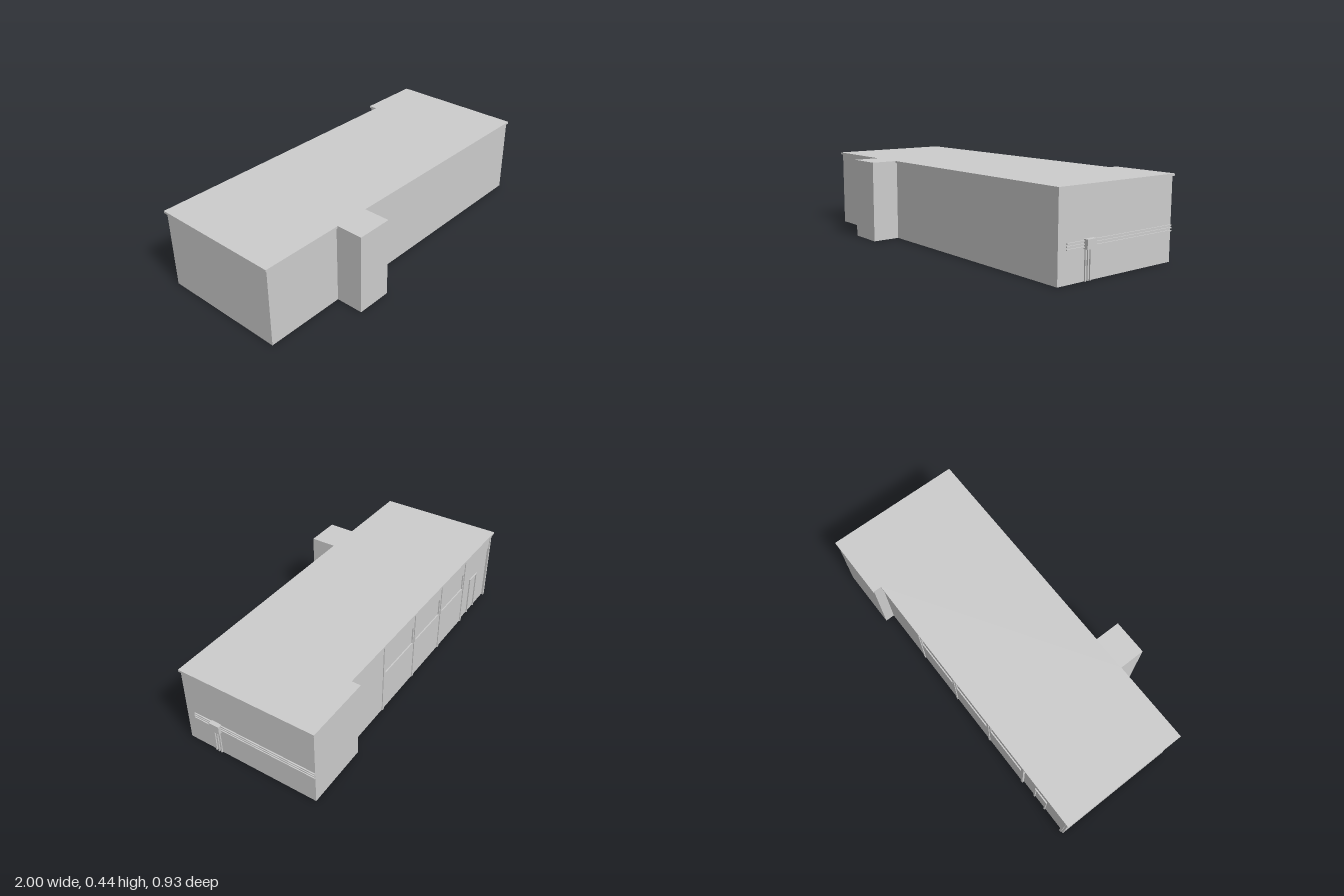
import * as THREE from 'three';

const material = new THREE.MeshStandardMaterial({ color: 0xcccccc, flatShading: true });

function addMesh(parent, name, geometry) {
  const mesh = new THREE.Mesh(geometry, material);
  mesh.name = name;
  parent.add(mesh);
  return mesh;
}

// Box given by its limits on each axis
function addBox(parent, name, [x0, x1], [y0, y1], [z0, z1]) {
  const mesh = addMesh(parent, name, new THREE.BoxGeometry(x1 - x0, y1 - y0, z1 - z0));
  mesh.position.set((x0 + x1) / 2, (y0 + y1) / 2, (z0 + z1) / 2);
  return mesh;
}

// Floor plan given as [x, z] corners, raised from y0 to y1
function addPlan(parent, name, corners, y0, y1) {
  const shape = new THREE.Shape(corners.map(([x, z]) => new THREE.Vector2(x, -z)));
  const geometry = new THREE.ExtrudeGeometry(shape, { depth: y1 - y0, bevelEnabled: false });
  geometry.rotateX(-Math.PI / 2);
  geometry.translate(0, y0, 0);
  return addMesh(parent, name, geometry);
}

export function createModel() {
  const model = new THREE.Group();
  model.name = 'building';

  const top = 0.445, eave = 0.433;
  const recess = -0.397, wall = -0.404, pier = -0.409;
  const piers = [0.287, -0.033, -0.338, -0.635, -0.972];
  const lintel = 0.347, sill = 0.242;

  // Main walls with the front entrance block and the deeper rear corner
  addPlan(model, 'walls', [
    [-0.99, 0.31], [-0.54, 0.31], [-0.54, 0.465], [-0.34, 0.465], [-0.34, 0.31], [0.976, 0.31],
    [0.976, -0.458], [0.615, -0.458], [0.615, wall], [piers[0], wall], [piers[0], recess],
    [piers[4], recess], [piers[4], wall], [-0.99, wall],
  ], 0, eave);

  // Flat roof slab, overhanging except around the front block
  addPlan(model, 'roof', [
    [-1, 0.318], [-0.54, 0.318], [-0.54, 0.465], [-0.34, 0.465], [-0.34, 0.318], [0.984, 0.318],
    [0.984, -0.465], [0.607, -0.465], [0.607, -0.415], [-1, -0.415],
  ], eave, top);

  // Rear facade: piers, lintel band and bays
  const facade = new THREE.Group();
  facade.name = 'rearFacade';
  model.add(facade);
  for (const x of piers) addBox(facade, 'pier', [x - 0.007, x + 0.007], [0, eave], [pier, recess]);
  addBox(facade, 'lintelBand', [piers[4], piers[0]], [lintel, eave], [wall, recess]);
  for (let i = 0; i < 3; i++) {
    const x0 = piers[i + 1], x1 = piers[i];
    addBox(facade, 'windowApron', [x0, x1], [0, sill], [wall, recess]);
    for (const [a, b] of [[x0, x0 + 0.017], [x1 - 0.017, x1]]) {
      addBox(facade, 'windowJamb', [a, b], [sill, lintel], [wall, recess]);
    }
  }

  // Rear door frame
  const doorLeft = -0.735, doorRight = -0.83, doorTop = 0.24, frame = 0.008;
  addBox(facade, 'doorPost', [doorLeft - frame, doorLeft], [0, doorTop], [wall, recess]);
  addBox(facade, 'doorPost', [doorRight, doorRight + frame], [0, doorTop], [wall, recess]);
  addBox(facade, 'doorHead', [doorRight + frame, doorLeft - frame], [doorTop - frame, doorTop], [wall, recess]);

  // Service box with pipes on the left end wall
  const services = new THREE.Group();
  services.name = 'services';
  model.add(services);
  addBox(services, 'junctionBox', [0.976, 1], [0.15, 0.197], [0.09, 0.15]);
  for (const y of [0.16, 0.174, 0.188]) {
    addBox(services, 'horizontalPipe', [0.976, 0.983], [y - 0.003, y + 0.003], [-0.458, 0.26]);
  }
  for (const z of [0.109, 0.125, 0.141]) {
    addBox(services, 'verticalPipe', [0.976, 0.983], [0, 0.15], [z - 0.004, z + 0.004]);
  }

  return model;
}
